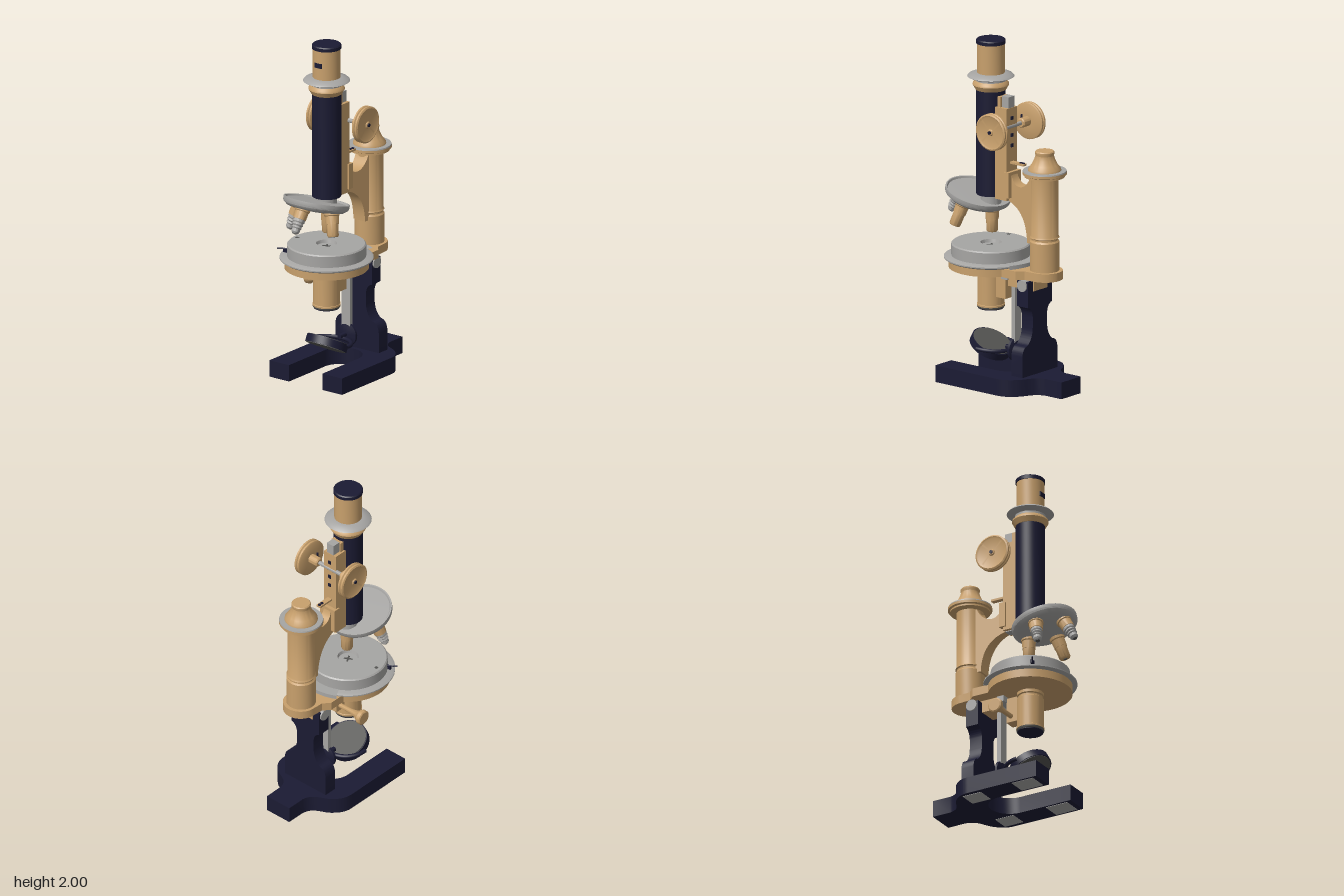
import * as THREE from 'three';
import { toCreasedNormals } from 'three/addons/utils/BufferGeometryUtils.js';

const material = (name, color) => Object.assign(new THREE.MeshStandardMaterial({ color }), { name });

export function createModel() {
  const model = new THREE.Group();
  model.name = 'microscope';
  const navy = material('navy enamel', 0x1b1b33);
  const brass = material('brass', 0xc8a06c);
  const steel = material('steel', 0xa6a5a3);
  const glass = material('dark mirror glass', 0x545452);
  const AXIS = 0.137; // z of the optical axis
  const COLUMN = -0.26; // z of the rear column

  function add(name, geometry, mat, pos = [0, 0, 0], parent = model) {
    const mesh = new THREE.Mesh(geometry, mat);
    mesh.name = name;
    mesh.position.set(...pos);
    parent.add(mesh);
    return mesh;
  }
  // Turned part: [radius, height] pairs from bottom to top
  function turned(name, mat, profile, pos, parent) {
    const pts = profile.map(([r, y]) => new THREE.Vector2(r, y));
    return add(name, toCreasedNormals(new THREE.LatheGeometry(pts, 48), 0.6), mat, pos, parent);
  }
  const rod = (name, mat, r, y0, y1, pos, parent) =>
    turned(name, mat, [[0, y0], [r, y0], [r, y1], [0, y1]], pos, parent);
  const box = (name, mat, w, h, d, pos, parent) =>
    add(name, new THREE.BoxGeometry(w, h, d), mat, pos, parent);
  const extrude = (shape, depth) => toCreasedNormals(
    new THREE.ExtrudeGeometry(shape, { depth, bevelEnabled: false, curveSegments: 16 }), 0.5);
  // Closed outline from its right half, which starts and ends on x = 0
  function mirrored(half) {
    const pts = half.getPoints(16);
    const left = pts.slice(1, -1).reverse().map(p => new THREE.Vector2(-p.x, p.y));
    return new THREE.Shape([...pts, ...left]);
  }
  const plan = (half, height) => extrude(mirrored(half), height).rotateX(Math.PI / 2);

  // Horseshoe foot with pads below
  const foot = new THREE.Path();
  foot.moveTo(0, -0.455).lineTo(0.085, -0.455).lineTo(0.085, -0.34);
  foot.bezierCurveTo(0.1, -0.255, 0.17, -0.27, 0.215, -0.22);
  foot.quadraticCurveTo(0.26, -0.18, 0.26, -0.12);
  foot.lineTo(0.26, 0.33).lineTo(0.12, 0.33).lineTo(0.12, 0);
  foot.bezierCurveTo(0.12, -0.066, 0.066, -0.12, 0, -0.12);
  add('foot', plan(foot, 0.098), navy, [0, 0.1, 0]);
  for (const s of [-1, 1]) {
    box('footPad', steel, 0.115, 0.003, 0.14, [s * 0.19, 0.0015, 0.23]);
    box('footPad', steel, 0.11, 0.003, 0.12, [s * 0.18, 0.0015, -0.11]);
  }

  // Pillar and its hinge
  const pillar = new THREE.Path();
  pillar.moveTo(0, 0.1).lineTo(0.155, 0.1).lineTo(0.155, 0.22);
  pillar.quadraticCurveTo(0.15, 0.275, 0.11, 0.28);
  pillar.quadraticCurveTo(0.066, 0.31, 0.063, 0.38);
  pillar.lineTo(0.063, 0.44).quadraticCurveTo(0.068, 0.49, 0.106, 0.5);
  pillar.lineTo(0.106, 0.65).lineTo(0, 0.65);
  add('pillar', extrude(mirrored(pillar), 0.08), navy, [0, 0, -0.225]);
  rod('hingeAxle', steel, 0.034, -0.115, 0.115, [0, 0.625, -0.185]).rotation.z = Math.PI / 2;
  box('hingeBlock', brass, 0.12, 0.075, 0.19, [0, 0.628, -0.135]);

  // Stage bracket and round stage
  const bracket = new THREE.Path();
  bracket.moveTo(0, -0.365).absarc(0, -0.265, 0.1, -Math.PI / 2, 0, false);
  bracket.lineTo(0.105, -0.2).lineTo(0.14, -0.16).lineTo(0.14, -0.06);
  bracket.absarc(0, AXIS, 0.24, Math.atan2(-0.195, 0.14), Math.PI / 2, false);
  add('stageBracket', plan(bracket, 0.05), brass, [0, 0.712, 0]);
  turned('stageRing', steel, [[0, 0.71], [0.255, 0.71], [0.267, 0.718], [0.267, 0.725], [0.25, 0.733], [0, 0.733]], [0, 0, AXIS]);
  turned('stageDisc', steel, [[0, 0.73], [0.225, 0.73], [0.225, 0.798], [0.218, 0.805], [0.06, 0.805], [0.055, 0.787], [0, 0.787]], [0, 0, AXIS]);
  for (const turn of [0.5, 0.5 + Math.PI / 2])
    box('stageCross', glass, 0.05, 0.003, 0.01, [0, 0.788, AXIS]).rotation.y = turn;
  add('stageRearArc', new THREE.CylinderGeometry(0.287, 0.287, 0.024, 24, 1, false, Math.PI - 0.5, 1), steel, [0, 0.723, AXIS]);
  const pin = rod('stagePin', navy, 0.004, -0.03, 0.03, [-0.212, 0.765, 0.275]);
  pin.rotation.set(0, 0.6, Math.PI / 2);
  box('stagePinBlock', navy, 0.028, 0.022, 0.012, [-0.195, 0.755, 0.265]);
  box('stageMark', glass, 0.018, 0.003, 0.018, [-0.19, 0.805, 0.165]);

  // Condenser under the stage
  turned('condenser', brass, [[0, 0.436], [0.08, 0.436], [0.08, 0.446], [0.077, 0.448], [0.077, 0.625], [0.07, 0.63], [0.07, 0.64], [0.077, 0.645], [0.077, 0.67], [0, 0.67]], [0, 0, AXIS]);
  turned('condenserRim', glass, [[0, 0.424], [0.075, 0.424], [0.079, 0.43], [0.079, 0.437], [0, 0.437]], [0, 0, AXIS]);
  rod('condenserLens', navy, 0.073, 0.42, 0.425, [0, 0, AXIS]);
  box('condenserSlide', brass, 0.07, 0.15, 0.08, [0, 0.575, 0.04]);
  box('condenserRack', steel, 0.14, 0.035, 0.045, [0, 0.643, -0.02]);
  turned('condenserKnob', brass, [[0, 0], [0.014, 0], [0.014, 0.09], [0.022, 0.13], [0.036, 0.155], [0.043, 0.165], [0.043, 0.185], [0.036, 0.19], [0, 0.19]], [-0.03, 0.535, 0.03]).rotation.z = Math.PI / 2;

  // Swinging mirror
  box('mirrorTail', steel, 0.06, 0.42, 0.025, [0, 0.44, -0.052]);
  turned('mirrorKnob', navy, [[0, -0.015], [0.05, -0.015], [0.07, -0.006], [0.07, 0.008], [0.03, 0.018], [0, 0.018]], [0, 0.21, -0.05]).rotation.x = Math.PI / 2;
  rod('mirrorArm', navy, 0.014, -0.04, 0.03, [0, 0.212, -0.01]).rotation.x = Math.PI / 2;
  const fork = add('mirrorFork', new THREE.TorusGeometry(0.136, 0.012, 8, 32, Math.PI), navy, [0, 0.207, 0.13]);
  fork.rotation.x = -Math.PI / 2 - 0.08;
  const mirror = new THREE.Group();
  mirror.name = 'mirror';
  mirror.position.set(0, 0.205, 0.135);
  mirror.rotation.x = -0.49;
  model.add(mirror);
  rod('mirrorFrame', navy, 0.122, -0.022, 0.022, undefined, mirror);
  rod('mirrorGlassLower', glass, 0.116, -0.025, -0.022, undefined, mirror);
  rod('mirrorGlassUpper', glass, 0.116, 0.022, 0.025, undefined, mirror);

  // Rear column, flange and cap
  turned('column', brass, [[0, 0.71], [0.084, 0.71], [0.084, 0.88], [0.077, 0.89], [0.077, 0.9], [0.084, 0.905], [0.078, 0.915], [0.078, 1.255], [0.115, 1.26], [0.115, 1.27], [0.126, 1.275], [0.126, 1.29], [0, 1.29]], [0, 0, COLUMN]);
  turned('columnFlangeTop', steel, [[0, 1.29], [0.126, 1.29], [0.124, 1.297], [0, 1.297]], [0, 0, COLUMN]);
  turned('columnCap', brass, [[0, 1.295], [0.095, 1.295], [0.093, 1.308], [0.075, 1.33], [0.06, 1.36], [0.052, 1.385], [0.055, 1.395], [0.055, 1.405], [0.05, 1.411], [0, 1.411]], [0, 0, COLUMN]);

  // Curved arm drawn in z and y, thinning from the column towards the slide
  const arm = new THREE.Shape();
  arm.moveTo(0, 1.08).lineTo(0, 1.25).lineTo(-0.035, 1.25);
  arm.bezierCurveTo(-0.045, 1.15, -0.15, 1.15, -0.19, 1.25);
  arm.lineTo(-0.25, 1.25).lineTo(-0.25, 0.86).lineTo(-0.165, 0.86);
  arm.bezierCurveTo(-0.16, 0.98, -0.11, 1.06, 0, 1.08);
  const armGeometry = extrude(arm, 2).translate(0, 0, -1).rotateY(-Math.PI / 2);
  const p = armGeometry.attributes.position;
  for (let i = 0; i < p.count; i++) p.setX(i, p.getX(i) * (0.022 - 0.12 * p.getZ(i)));
  add('arm', toCreasedNormals(armGeometry, 0.5), brass);

  // Coarse focus slide and rack
  box('slide', brass, 0.09, 0.54, 0.085, [0, 1.35, 0.025]);
  box('slideBracket', brass, 0.11, 0.15, 0.04, [0, 1.175, -0.018]);
  box('slideGuide', brass, 0.07, 0.08, 0.025, [0, 1.64, 0.048]);
  box('rack', steel, 0.05, 0.61, 0.05, [0, 1.38, 0.01]);
  box('slideStop', brass, 0.03, 0.012, 0.1, [0, 1.3, -0.065]);
  for (const z of [-0.085, -0.105]) rod('stopScrew', navy, 0.009, 1.305, 1.31, [0, 0, z]);
  for (const y of [1.4, 1.46, 1.56]) box('slideScrew', navy, 0.02, 0.02, 0.006, [0, y, -0.02]);
  rod('focusShaft', steel, 0.012, -0.185, 0.185, [0, 1.51, -0.01]).rotation.z = Math.PI / 2;
  for (const s of [-1, 1]) {
    turned('focusWheel', brass, [[0, 0.085], [0.022, 0.085], [0.028, 0.092], [0.028, 0.146], [0.1, 0.146], [0.107, 0.15], [0.107, 0.16], [0.1, 0.165], [0.107, 0.17], [0.107, 0.18], [0.098, 0.185], [0.088, 0.18], [0.02, 0.18], [0.015, 0.187], [0, 0.187]],
      [0, 1.51, -0.01]).rotation.z = -s * Math.PI / 2;
    rod('focusNut', navy, 0.01, 0.186, 0.193, [0, 1.51, -0.01]).rotation.z = -s * Math.PI / 2;
    rod('focusScrew', navy, 0.006, 0, 0.04, [s * 0.12, 1.51, 0.01]);
    add('focusScrewBall', new THREE.SphereGeometry(0.013, 16, 12), navy, [s * 0.12, 1.51, 0.014]);
  }

  // Body tube, collar, draw tube and eyepiece
  rod('bodyTube', navy, 0.083, 1.09, 1.71, [0, 0, AXIS]);
  turned('tubeCollar', brass, [[0, 1.705], [0.088, 1.705], [0.104, 1.733], [0.102, 1.743], [0.088, 1.757], [0, 1.757]], [0, 0, AXIS]);
  turned('tubeFlange', steel, [[0, 1.755], [0.088, 1.755], [0.088, 1.77], [0.12, 1.775], [0.134, 1.782], [0.125, 1.792], [0.085, 1.803], [0, 1.803]], [0, 0, AXIS]);
  rod('drawTube', brass, 0.079, 1.8, 1.98, [0, 0, AXIS]);
  turned('eyepiece', navy, [[0, 1.975], [0.084, 1.975], [0.084, 1.994], [0.078, 2], [0, 2]], [0, 0, AXIS]);
  box('tubePlate', navy, 0.05, 0.028, 0.009, [0, 1.888, AXIS + 0.077]);

  // Tilted revolving nosepiece with four splayed objectives
  rod('nosepieceNeck', steel, 0.06, 1.02, 1.095, [0, 0, AXIS]);
  const nose = new THREE.Group();
  nose.name = 'nosepiece';
  nose.position.set(0, 1.068, 0.233);
  nose.rotation.x = -0.27;
  model.add(nose);
  turned('nosepieceDisc', steel, [[0, -0.04], [0.09, -0.04], [0.165, -0.028], [0.187, -0.01], [0.19, 0], [0.19, 0.02], [0.182, 0.02], [0.176, 0.01], [0, 0.014]], undefined, nose);
  const TIP = [[0, -0.16], [0.016, -0.16], [0.024, -0.15], [0.024, -0.132], [0.03, -0.126], [0.026, -0.116], [0.033, -0.108], [0.029, -0.097], [0.034, -0.09], [0.034, -0.07], [0, -0.07]];
  const BARREL = [[0, -0.148], [0.028, -0.148], [0.033, -0.14], [0.034, -0.07], [0, -0.07]];
  [[0, true], [Math.PI / 2, false], [Math.PI, false], [-Math.PI / 2, true]].forEach(([angle, ridged]) => {
    const spoke = new THREE.Group();
    spoke.name = 'objective';
    spoke.rotation.y = angle;
    nose.add(spoke);
    const lens = new THREE.Group();
    lens.name = 'objectiveBody';
    lens.position.set(0, -0.02, 0.115);
    lens.rotation.x = -0.27;
    spoke.add(lens);
    turned('objectiveMount', brass, [[0, -0.075], [0.037, -0.075], [0.039, -0.03], [0.044, -0.025], [0.044, 0.005], [0, 0.005]], undefined, lens);
    turned('objectiveTip', ridged ? steel : brass, ridged ? TIP : BARREL, undefined, lens);
    rod('objectiveLens', glass, 0.012, ridged ? -0.163 : -0.151, -0.14, undefined, lens);
  });
  return model;
}
